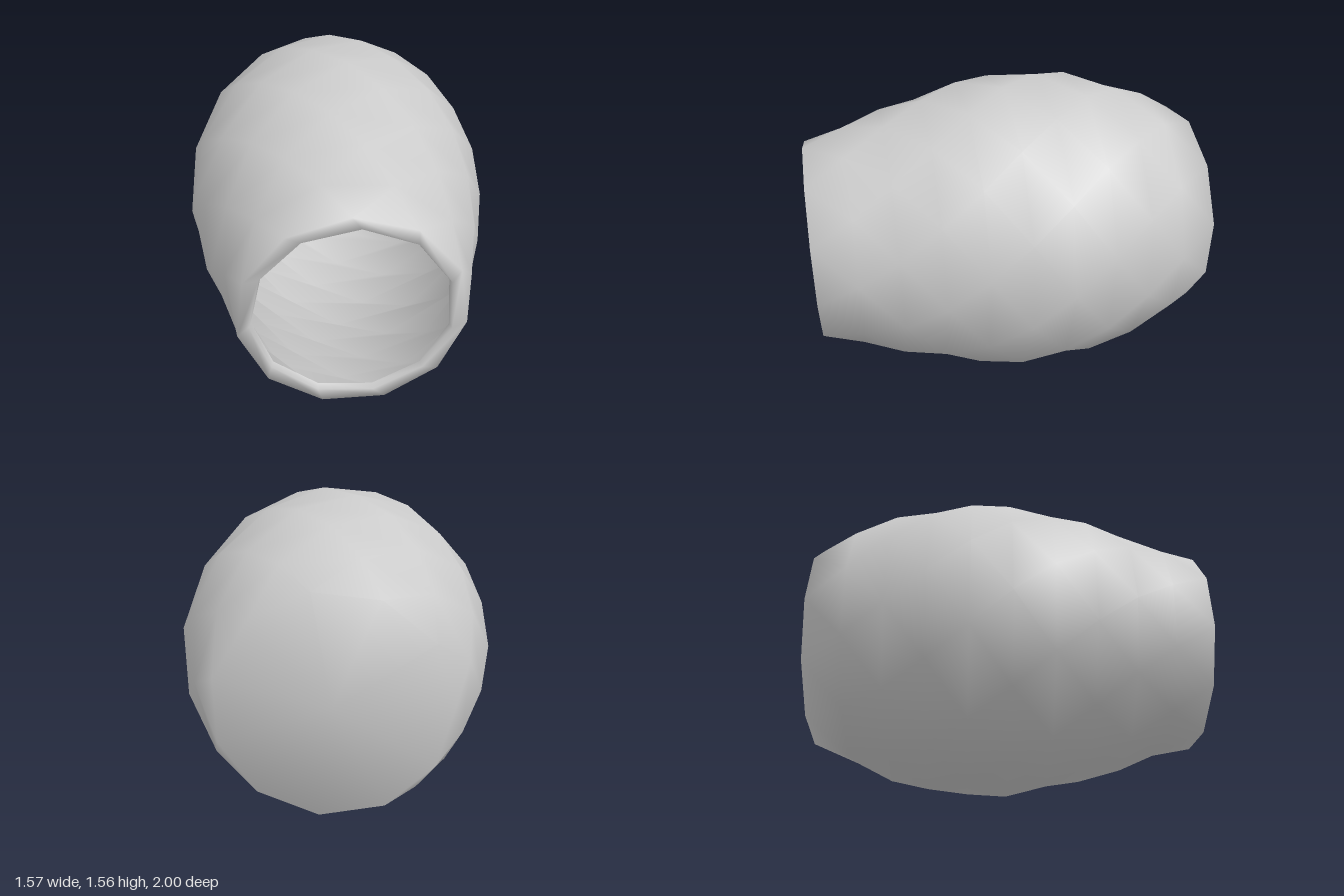
import * as THREE from 'three';

const SIDES = 11;
const CENTER_Y = 0.78;
const STEP = (Math.PI * 2) / SIDES;
const rad = THREE.MathUtils.degToRad;

// Twist of a cross-section, in degrees, growing toward the front
const twist = (z) => 85.6 + 20.7 * (z / 0.2);

// Joins rings [z, radius, degrees], front to back, and closes the back end.
// Outer skins bulge along one diagonal of each quad, inner skins crease along the other.
function shell(rings, inner) {
  const pos = [], index = [];
  for (const [z, r, deg] of rings) {
    for (let j = 0; j < SIDES; j++) {
      const a = rad(deg) + j * STEP;
      pos.push(r * Math.cos(a), CENTER_Y + r * Math.sin(a), z);
    }
  }
  const last = rings.length - 1;
  const center = pos.length / 3;
  pos.push(0, CENTER_Y, rings[last][0]);
  for (let j = 0; j < SIDES; j++) {
    const k = (j + 1) % SIDES;
    for (let i = 0; i < last; i++) {
      const a = i * SIDES + j, b = i * SIDES + k;
      const c = a + SIDES, d = b + SIDES;
      if (inner) index.push(a, b, c, b, d, c);
      else index.push(a, d, b, a, c, d);
    }
    const p = last * SIDES + j, q = last * SIDES + k;
    if (inner) index.push(p, q, center);
    else index.push(q, p, center);
  }
  const g = new THREE.BufferGeometry();
  g.setAttribute('position', new THREE.Float32BufferAttribute(pos, 3));
  g.setIndex(index);
  g.computeVertexNormals();
  return g;
}

export function createModel() {
  const group = new THREE.Group();
  group.name = 'twistedBarrel';
  const material = new THREE.MeshStandardMaterial({ color: 0xcccccc, side: THREE.DoubleSide });

  // Bulging profile, one radius every 0.2 from front to back
  const radii = [0.52, 0.575, 0.645, 0.705, 0.755, 0.785, 0.785, 0.765, 0.71, 0.63, 0.53];
  const body = radii.map((r, i) => {
    const z = 1 - i * 0.2;
    return [z, r, twist(z)];
  });
  const lipTurn = twist(1) - 5;

  // Outer wall with the flat lip around the mouth and the flat back
  const outer = new THREE.Mesh(
    shell([[0.97, 0.452, lipTurn], [1, 0.462, lipTurn], ...body], false), material);
  outer.name = 'outerWall';

  // Hollow inside with creased folds, widening behind the lip
  const lining = body.map(([z, r, t], i) => {
    const zi = i === 0 ? 0.96 : i === body.length - 1 ? -0.98 : z;
    return [zi, r * 0.985, t];
  });
  const inside = new THREE.Mesh(shell([[0.97, 0.452, lipTurn], ...lining], true), material);
  inside.name = 'innerWall';

  group.add(outer, inside);
  return group;
}
